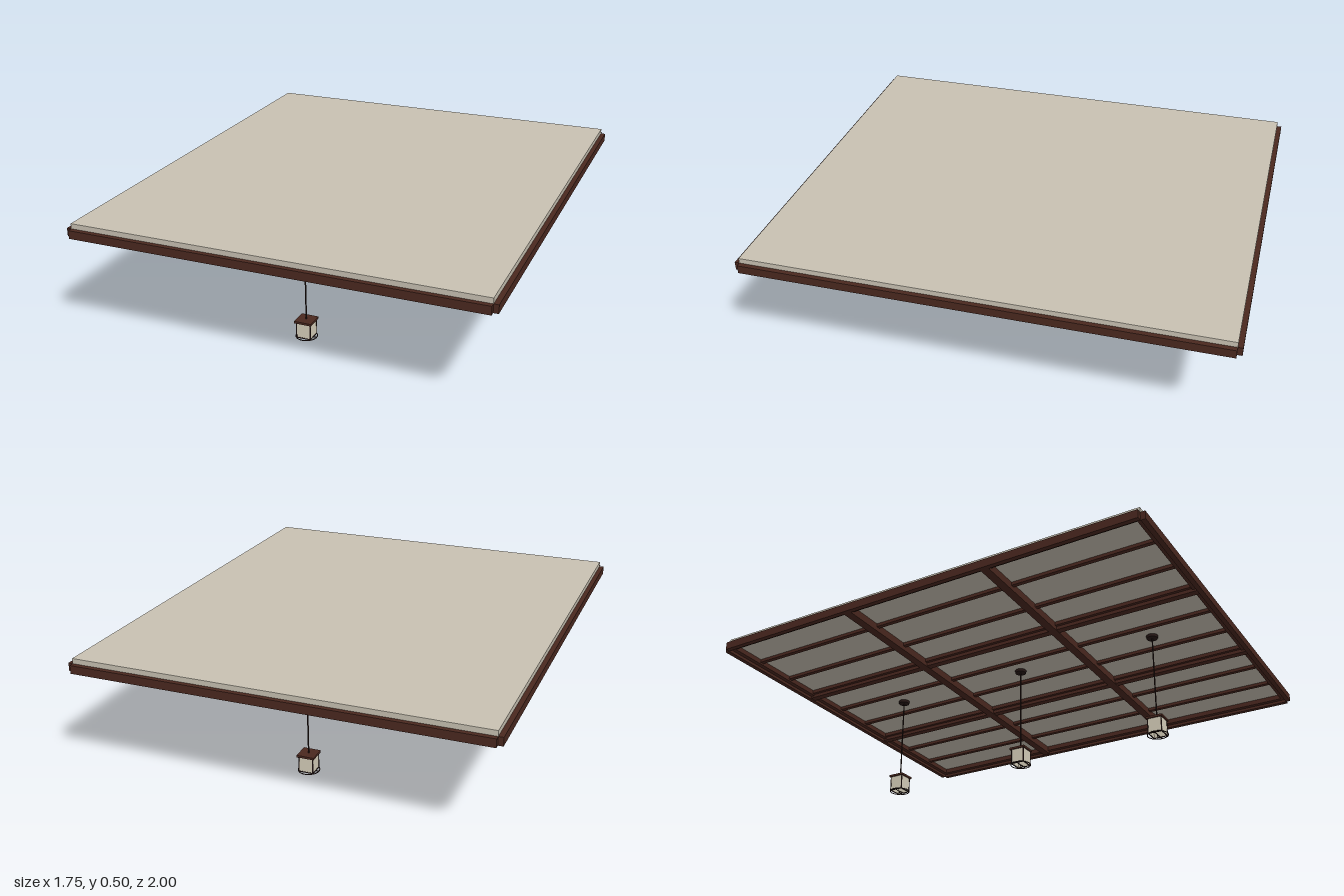
import * as THREE from 'three';

const mat = (name, color) => {
  const m = new THREE.MeshStandardMaterial({ color });
  m.name = name;
  return m;
};

export function createModel() {
  const wood = mat('dark wood', 0x4a281f);
  const metal = mat('dark metal', 0x2a1a18);
  const plaster = mat('ceiling plaster', 0xc8c1b2);
  const glass = mat('cream glass', 0xd6ceba);

  const model = new THREE.Group();
  model.name = 'cofferedCeiling';

  const add = (parent, name, geometry, material, x, y, z) => {
    const mesh = new THREE.Mesh(geometry, material);
    mesh.name = name;
    mesh.position.set(x, y, z);
    parent.add(mesh);
    return mesh;
  };
  // Box given by its size, with y as the bottom face
  const box = (parent, name, w, h, d, material, x, y, z) =>
    add(parent, name, new THREE.BoxGeometry(w, h, d), material, x, y + h / 2, z);

  const W = 0.855, D = 0.98, TOP = 0.475;

  // Ceiling slab
  box(model, 'ceilingSlab', W * 2, 0.022, D * 2, plaster, 0, TOP, 0);

  // Outer rails with open corners, and a stepped moulding inside
  for (const s of [-1, 1]) {
    box(model, 'endRail', W * 2, 0.035, 0.02, wood, 0, 0.44, s * 0.99);
    box(model, 'sideRail', 0.02, 0.035, D * 2, wood, s * 0.865, 0.44, 0);
    box(model, 'endMoulding', W * 2, 0.022, 0.02, wood, 0, TOP - 0.022, s * 0.97);
    box(model, 'sideMoulding', 0.02, 0.022, D * 2, wood, s * 0.845, TOP - 0.022, 0);
  }

  // Main beams dividing the ceiling into nine bays
  for (const s of [-1, 1]) {
    box(model, 'crossBeam', W * 2, 0.033, 0.036, wood, 0, TOP - 0.033, s * 0.33);
    box(model, 'longBeam', 0.03, 0.031, D * 2, wood, s * 0.29, TOP - 0.031, 0);
    box(model, 'longBeamMoulding', 0.056, 0.016, D * 2, wood, s * 0.29, TOP - 0.016, 0);
  }

  // Thin slats, two in each bay
  for (const bay of [-1, 0, 1]) {
    for (const s of [-1, 1]) {
      box(model, 'slat', 0.018, 0.014, D * 2, wood, bay * 0.575 + s * 0.096, TOP - 0.014, 0);
    }
  }

  // Hanging lanterns
  for (const z of [-0.655, 0, 0.655]) {
    const lantern = new THREE.Group();
    lantern.name = 'lantern';
    lantern.position.z = z;
    model.add(lantern);

    add(lantern, 'canopy', new THREE.CylinderGeometry(0.026, 0.024, 0.012, 24), metal, 0, TOP - 0.006, 0);
    add(lantern, 'rod', new THREE.CylinderGeometry(0.003, 0.003, 0.39, 10), metal, 0, 0.277, 0);
    box(lantern, 'cap', 0.074, 0.009, 0.074, wood, 0, 0.075, 0);

    // Four panes, corner posts and bottom bars
    for (let i = 0; i < 4; i++) {
      const side = new THREE.Group();
      side.name = 'lanternSide';
      side.rotation.y = i * Math.PI / 2;
      lantern.add(side);
      box(side, 'pane', 0.058, 0.064, 0.003, glass, 0, 0.011, 0.029);
      box(side, 'post', 0.004, 0.067, 0.004, metal, 0.03, 0.008, 0.03);
      box(side, 'bottomBar', 0.06, 0.004, 0.004, metal, 0, 0.008, 0.03);
    }

    // Open ring and small finial below
    const ring = add(lantern, 'ring', new THREE.TorusGeometry(0.044, 0.002, 8, 36), metal, 0, 0.008, 0);
    ring.rotation.x = Math.PI / 2;
    box(lantern, 'ringBar', 0.088, 0.003, 0.003, metal, 0, 0.0065, 0);
    add(lantern, 'finial', new THREE.SphereGeometry(0.004, 12, 8), metal, 0, 0.004, 0);
  }

  return model;
}
